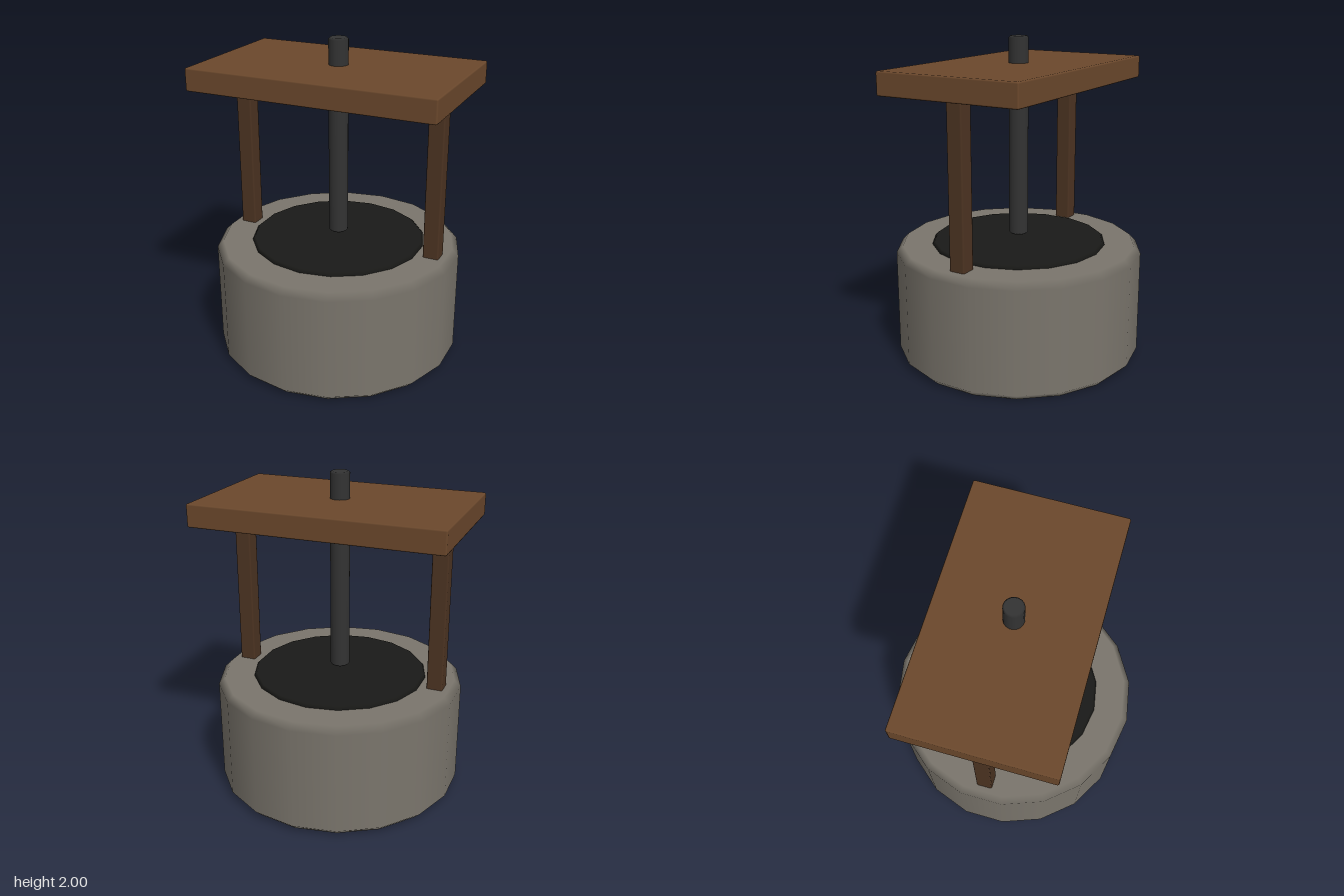
import * as THREE from 'three';
import { RoundedBoxGeometry } from 'three/addons/geometries/RoundedBoxGeometry.js';

const SIDES = 18;

const paint = (color) => new THREE.MeshStandardMaterial({ color });

// Upright drum with chamfered rims: flat caps, smooth wall, soft chamfers.
// hole is the radius left open in the middle of both caps.
function drum(radius, y0, y1, chamfer, hole = 0) {
  const inner = radius - chamfer;
  const profile = [
    [hole, y0], [inner, y0], [radius, y0 + chamfer],
    [radius, y1 - chamfer], [inner, y1], [hole, y1],
  ].map(([x, y]) => new THREE.Vector2(x, y));
  const geometry = new THREE.LatheGeometry(profile, SIDES);
  const tilt = [-1, -1, 0, 0, 1, 1]; // vertical part of each profile point's normal
  const normal = geometry.attributes.normal;
  for (let i = 0; i < normal.count; i++) {
    const angle = (Math.floor(i / profile.length) / SIDES) * Math.PI * 2;
    const up = tilt[i % profile.length];
    const out = up === 0 ? 1 : 0;
    normal.setXYZ(i, Math.sin(angle) * out, up, Math.cos(angle) * out);
  }
  return geometry;
}

// Box with slightly softened edges, placed by its bottom and top heights
function plank(width, y0, y1, depth) {
  return new RoundedBoxGeometry(width, y1 - y0, depth, 1, 0.01).translate(0, (y0 + y1) / 2, 0);
}

export function createModel() {
  const model = new THREE.Group();
  model.name = 'well';

  const add = (name, geometry, material, x = 0) => {
    const mesh = new THREE.Mesh(geometry, material);
    mesh.name = name;
    mesh.position.x = x;
    model.add(mesh);
  };

  // Stone ring and the dark shaft inside it
  add('stoneWall', drum(0.77, 0, 0.72, 0.04, 0.53), paint(0x7a756c));
  add('shaft', drum(0.545, 0, 0.74, 0.015), paint(0x1a1a18));

  // Posts standing on the rim
  const postWood = paint(0x4d3422);
  for (const [name, side] of [['leftPost', 1], ['rightPost', -1]]) {
    add(name, plank(0.1, 0.7, 1.7, 0.1), postWood, side * 0.635);
  }

  // Flat roof with the central rod passing through it
  add('roof', plank(1.54, 1.7, 1.84, 0.92), paint(0x6b482c));
  add('rod', drum(0.06, 0.77, 2, 0.01), paint(0x333333));

  return model;
}
